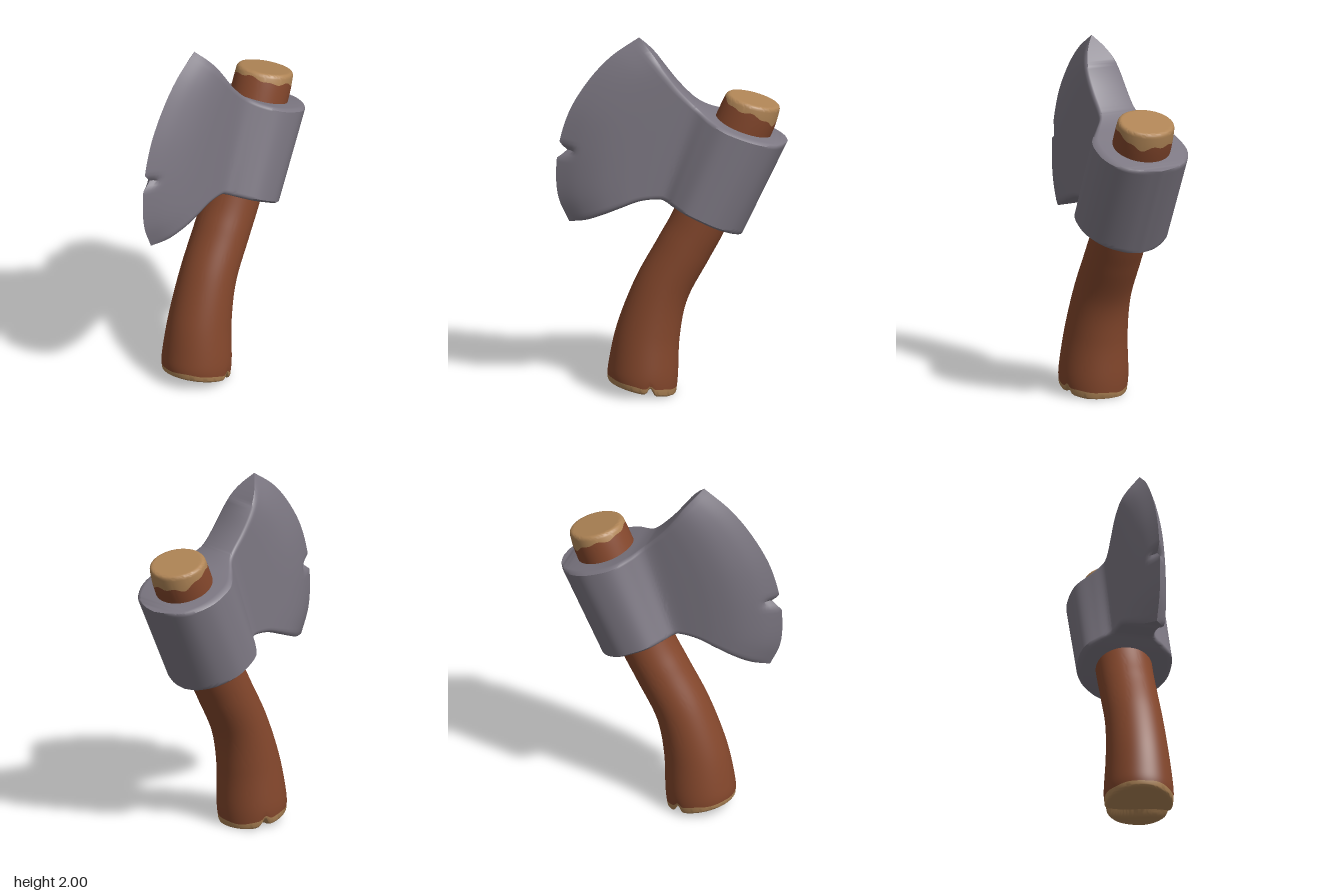
import * as THREE from 'three';
import { toCreasedNormals } from 'three/addons/utils/BufferGeometryUtils.js';

const mat = (name, color) => {
  const m = new THREE.MeshStandardMaterial({ color });
  m.name = name;
  return m;
};
const spline = (pts) =>
  new THREE.CatmullRomCurve3(pts.map((p) => new THREE.Vector3(...p)), false, 'catmullrom', 0.5);

// Surface from rows x closed loops; point(i, j) returns [x, y, z]
function loft(rows, cols, point, crease) {
  const pos = [], idx = [];
  for (let i = 0; i < rows; i++)
    for (let j = 0; j < cols; j++) pos.push(...point(i, j));
  for (let i = 0; i < rows - 1; i++)
    for (let j = 0; j < cols; j++) {
      const k = (j + 1) % cols;
      const a = i * cols + j, b = a + cols, c = (i + 1) * cols + k, d = i * cols + k;
      idx.push(a, b, c, a, c, d);
    }
  const g = new THREE.BufferGeometry();
  g.setAttribute('position', new THREE.Float32BufferAttribute(pos, 3));
  g.setIndex(idx);
  return toCreasedNormals(g, crease);
}

// Handle: left and right outline rails, third value is the half depth
const railL = spline([[-0.35, 0.07, 0.185], [-0.347, 0.16, 0.19], [-0.3, 0.38, 0.172], [-0.2, 0.64, 0.158],
  [-0.075, 0.87, 0.155], [0.03, 1.07, 0.155], [0.235, 1.55, 0.16], [0.3, 1.69, 0.157]]);
const railR = spline([[0.02, -0.01, 0], [0.032, 0.1, 0], [0.042, 0.32, 0], [0.085, 0.53, 0],
  [0.2, 0.75, 0], [0.3, 0.94, 0], [0.535, 1.44, 0], [0.592, 1.61, 0]]);
const SEG = 96;

function handlePoint(t, k, a) {
  const l = railL.getPoint(t), r = railR.getPoint(t);
  const c = 0.5 * k * Math.cos(a);
  const x = (l.x + r.x) / 2 + (r.x - l.x) * c;
  let y = Math.max(0.004, (l.y + r.y) / 2 + (r.y - l.y) * c);
  const z = l.z * k * Math.sin(a);
  // split running across the foot of the handle
  const split = Math.exp(-(((x + 0.105 + 0.02 * Math.sin(z * 12)) / 0.018) ** 2));
  y += 0.055 * split * Math.max(0, 1 - y / 0.1);
  return [x, y, z];
}
// Ragged borders between bark and bare wood
const footEdge = (a) => 0.066 + 0.006 * Math.sin(3 * a) + 0.004 * Math.sin(7 * a + 1);
const topEdge = (a) => 0.932 - 0.026 * Math.cos(a) + 0.01 * Math.sin(4 * a + 2) + 0.007 * Math.sin(9 * a);

// Rounded end profile: [radius scale, distance in from the end]
const endProfile = [];
for (let i = 0; i <= 14; i++) endProfile.push([(i / 14) * 0.88, 0]);
endProfile.push([0.93, 0.002], [0.97, 0.007], [0.99, 0.014], [1, 0.024]);

function endCap(atTop) {
  const n = endProfile.length + 1;
  return loft(n, SEG, (i, j) => {
    const a = (j / SEG) * Math.PI * 2;
    const row = atTop ? n - 1 - i : i;
    if (row === n - 1) return handlePoint(atTop ? topEdge(a) : footEdge(a), 1, a);
    const [k, d] = endProfile[row];
    return handlePoint(atTop ? 1 - d : d, k, a);
  }, 0.9);
}

function barkGeometry() {
  const n = 50;
  return loft(n, SEG, (i, j) => {
    const a = (j / SEG) * Math.PI * 2;
    return handlePoint(THREE.MathUtils.lerp(footEdge(a), topEdge(a), i / (n - 1)), 1, a);
  }, 0.9);
}

// Head stations from poll to cutting edge: top x, y, bottom x, y, half thickness
const stations = [
  [0.63, 1.415, 0.385, 0.902, 0], [0.612, 1.422, 0.368, 0.91, 0.1], [0.56, 1.438, 0.315, 0.935, 0.188],
  [0.468, 1.47, 0.23, 0.975, 0.247], [0.375, 1.503, 0.15, 1.015, 0.26], [0.28, 1.54, 0.065, 1.055, 0.243],
  [0.2, 1.58, 0, 1.085, 0.178], [0.145, 1.62, -0.04, 1.103, 0.127], [0.1, 1.66, -0.08, 1.112, 0.112],
  [0.03, 1.735, -0.18, 1.1, 0.11], [-0.035, 1.82, -0.28, 1.062, 0.106], [-0.085, 1.89, -0.38, 1.02, 0.09],
  [-0.13, 1.945, -0.47, 0.985, 0.055], [-0.18, 2, -0.56, 0.965, 0],
];
const topRail = spline(stations.map((s) => [s[0], s[1], s[4]]));
const bottomRail = spline(stations.map((s) => [s[2], s[3], 0]));
const edgeCurve = spline([[-0.56, 0.965, 0], [-0.618, 1.1, 0], [-0.631, 1.25, 0], [-0.612, 1.42, 0],
  [-0.553, 1.6, 0], [-0.45, 1.765, 0], [-0.33, 1.895, 0], [-0.18, 2, 0]]);

function headGeometry() {
  const rows = 79, N = 50, bladeStart = 8 / 13;
  // rows across the height, with a small bevel at both rims
  const side = [[0, 0.86], [0.008, 0.94], [0.03, 1]];
  for (let i = 1; i < N; i++) side.push([0.03 + (0.94 * i) / N, 1]);
  side.push([0.97, 1], [0.992, 0.94], [1, 0.86]);
  const loop = [...side.slice().reverse().map(([r, k]) => [r, k]), ...side.map(([r, k]) => [r, -k])];
  const e0 = edgeCurve.getPoint(0), e1 = edgeCurve.getPoint(1);
  return loft(rows, loop.length, (i, j) => {
    const s = i / (rows - 1), [r, k] = loop[j];
    const top = topRail.getPoint(s), p = bottomRail.getPoint(s).lerp(top, r);
    // bow the blade out towards the curved cutting edge
    const w = Math.max(0, (s - bladeStart) / (1 - bladeStart));
    p.addScaledVector(edgeCurve.getPoint(r).sub(e0.clone().lerp(e1, r)), w);
    // chip in the cutting edge
    const chip = Math.max(0, 1 - Math.abs(r - 0.385) / 0.035);
    p.x += 0.055 * chip * THREE.MathUtils.smoothstep(w, 0.8, 1);
    return [p.x, p.y, Math.max(0, top.z) * k];
  }, 0.75);
}

export function createModel() {
  const steel = mat('steel', 0x7d7883);
  const bark = mat('brownWood', 0x84472c);
  const bare = mat('bareWood', 0xb08556);
  const group = new THREE.Group();
  group.name = 'axe';
  const add = (name, geometry, material) => {
    const mesh = new THREE.Mesh(geometry, material);
    mesh.name = name;
    group.add(mesh);
  };
  add('handle', barkGeometry(), bark);
  add('handleFoot', endCap(false), bare);
  add('handleTop', endCap(true), bare);
  add('axeHead', headGeometry(), steel);
  return group;
}
